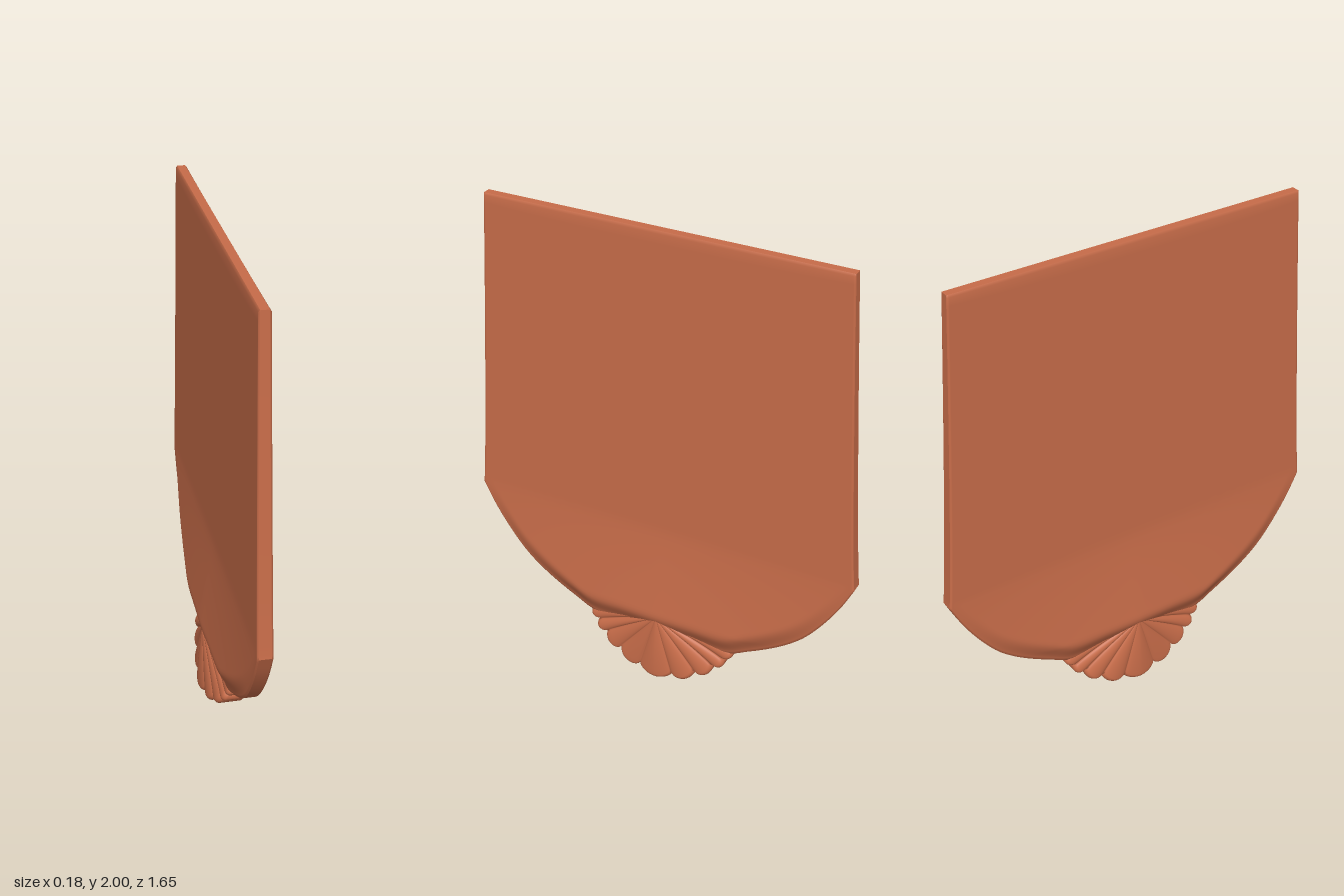
import * as THREE from 'three';

const clamp = THREE.MathUtils.clamp;
const smooth = THREE.MathUtils.smoothstep;
const lerp = THREE.MathUtils.lerp;

// Surface patch through fn(u, v) sampled at the given parameter lists
function patch(us, vs, fn, flip = false) {
  const pos = [], index = [], n = vs.length;
  for (const u of us) for (const v of vs) pos.push(...fn(u, v));
  for (let i = 0; i < us.length - 1; i++) {
    for (let j = 0; j < n - 1; j++) {
      const a = i * n + j, b = a + n, c = b + 1, d = a + 1;
      if (flip) index.push(a, c, b, a, d, c);
      else index.push(a, b, c, a, c, d);
    }
  }
  const g = new THREE.BufferGeometry();
  g.setAttribute('position', new THREE.Float32BufferAttribute(pos, 3));
  g.setIndex(index);
  g.computeVertexNormals();
  return g;
}

const range = (a, b, n) => Array.from({ length: n + 1 }, (_, i) => lerp(a, b, i / n));

// Lower outline of the board: [z, y], mirrored about z = 0
const half = [[0.15, 0.2], [0.3, 0.2], [0.4, 0.245], [0.5, 0.3], [0.58, 0.355],
  [0.645, 0.415], [0.715, 0.505], [0.775, 0.6], [0.825, 0.7]];
const outline = new THREE.SplineCurve([
  ...half.slice().reverse().map(([z, y]) => new THREE.Vector2(-z, y)),
  new THREE.Vector2(0, 0.2),
  ...half.map(([z, y]) => new THREE.Vector2(z, y)),
]);

// Point on one face of the board; u runs along the outline, v from bottom to top
function boardPoint(u, v, side) {
  const p = outline.getPoint(u);
  const y = lerp(p.y, 2, v);
  // sides taper gently towards the top
  const k = clamp((y - 0.7) / 1.3, 0, 1);
  const z = p.x * (1 - 0.103 * Math.pow(k, 0.85));
  // thickness swells above the lower edge and fades into the flat panel
  const flare = 0.046 * Math.pow(clamp((0.72 - y) / 0.4, 0, 1), 1.2) * (1 - 0.5 * Math.abs(z));
  const swell = smooth(y - p.y, 0, 0.11);
  const edge = Math.min(u, 1 - u, v, 1 - v);
  const bevel = 0.006 * (1 - clamp(edge / 0.006, 0, 1));
  const t = 0.03 - 0.008 * k + flare * swell - bevel;
  return [side * t, y, z];
}

// Shell lobes: [valley angle, next valley angle, valley radius, crest radius]
const lobes = [[-16, 16, 0.27, 0.3], [16, 38, 0.275, 0.305], [38, 55, 0.295, 0.32],
  [55, 65.5, 0.31, 0.335], [65.5, 76, 0.315, 0.345]];

// Radius and half thickness of the shell rim at an angle measured from straight down
function shellRim(deg) {
  const a = Math.abs(deg);
  const lobe = lobes.find(([, end]) => a <= end);
  if (!lobe) return { R: lerp(0.315, 0.28, (a - 76) / 8), T: 0.022 };
  const [a0, a1, valley, crest] = lobe;
  const x = (2 * a - a0 - a1) / (a1 - a0);
  const h = Math.sqrt(Math.max(0, Math.cos(x * Math.PI / 2)));
  const T = 0.088 - 0.055 * Math.pow(a / 72, 1.5) - 0.013 * (1 - h);
  return { R: lerp(valley, crest, h), T };
}

// Runs from the apex on one face, around the rounded rim, to the apex on the other
function shellPoint(deg, w) {
  const { R, T } = shellRim(deg);
  const side = Math.sign(w), s = 1 - Math.abs(w);
  const round = Math.min(0.02, T * 0.8);
  let r, t;
  if (s < 0.7) {
    const q = s / 0.7;
    r = q * (R - round);
    t = lerp(0.068, T, Math.sin(q * Math.PI / 2));
  } else if (s < 0.95) {
    const a = (s - 0.7) / 0.25 * Math.PI / 2;
    r = R - round + round * Math.sin(a);
    t = T - round + round * Math.cos(a);
  } else {
    r = R;
    t = (T - round) * (1 - s) / 0.05;
  }
  const a = THREE.MathUtils.degToRad(deg);
  return [side * t, 0.3 - r * Math.cos(a), r * Math.sin(a)];
}

export function createModel() {
  const group = new THREE.Group();
  const terracotta = new THREE.MeshStandardMaterial({ color: 0xc76c49 });
  terracotta.name = 'terracotta';

  const add = (name, geometry) => {
    const mesh = new THREE.Mesh(geometry, terracotta);
    mesh.name = name;
    group.add(mesh);
  };

  // Board faces, with rows crowded near the swollen lower edge
  const us = [0, 0.006, ...range(0.015, 0.985, 96), 0.994, 1];
  const vs = [0, 0.006, ...range(0.1, 0.985, 60).map((k) => k * k), 0.994, 1];
  add('leftFace', patch(us, vs, (u, v) => boardPoint(u, v, 1), true));
  add('rightFace', patch(us, vs, (u, v) => boardPoint(u, v, -1)));

  // Narrow rim around the board
  const across = [1, -1];
  const up = vs, down = vs.slice().reverse();
  add('lowerRim', patch(us, across, (u, s) => boardPoint(u, 0, s)));
  add('frontRim', patch(up, across, (v, s) => boardPoint(1, v, s)));
  add('topRim', patch(us.slice().reverse(), across, (u, s) => boardPoint(u, 1, s)));
  add('backRim', patch(down, across, (v, s) => boardPoint(0, v, s)));

  // Fluted shell ornament at the bottom
  const angles = range(-84, 84, 224);
  const face = [...range(1, 0.3, 14), ...range(0.25, 0.05, 5)];
  const wrap = [...face, ...face.map((w) => -w).reverse()];
  add('shellOrnament', patch(angles, wrap, shellPoint));

  return group;
}
